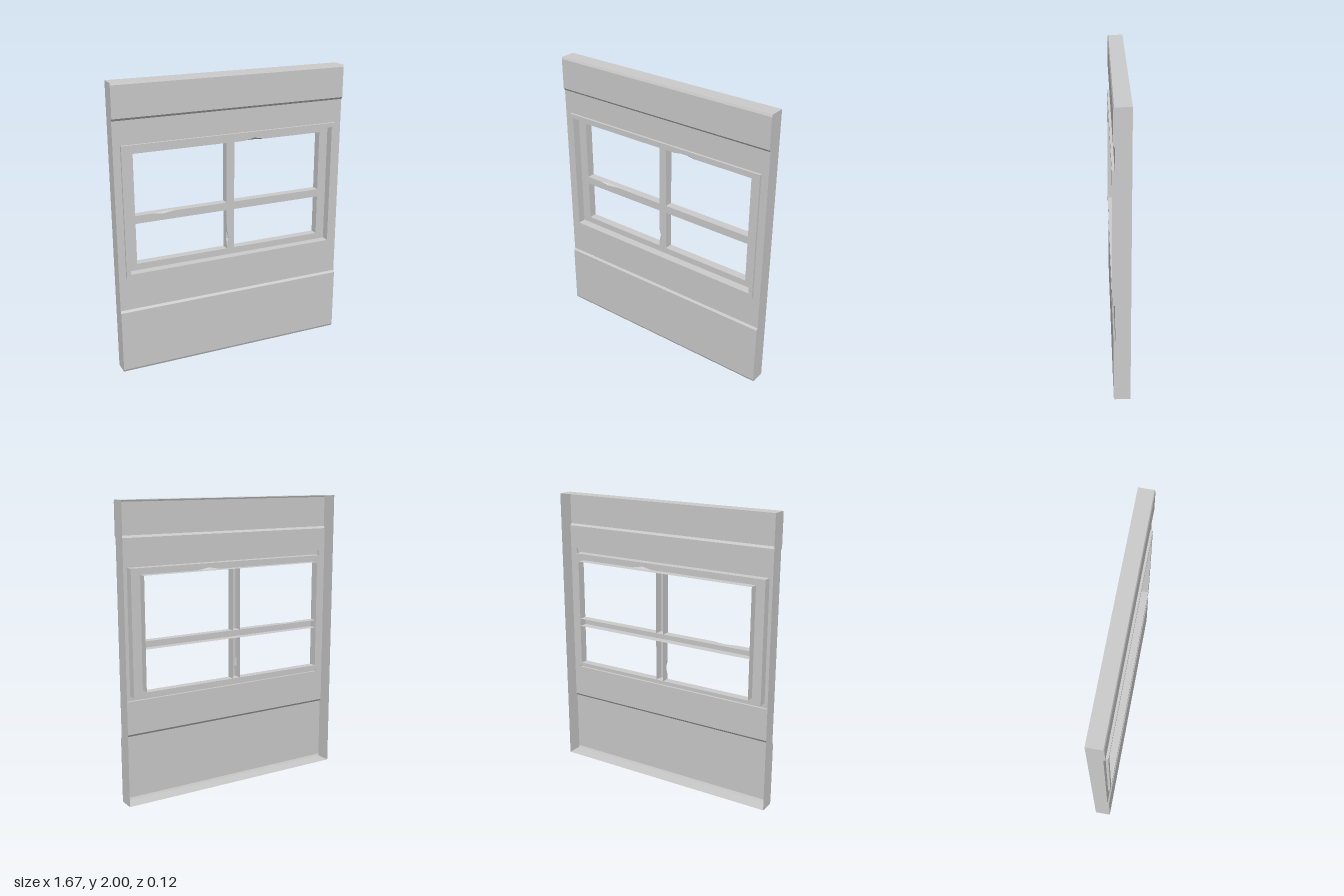
import * as THREE from 'three';

const HALF_W = 0.833;              // half width of the panel
const BACK = -0.058;               // open rear edge
const WALL_Z = 0.041;              // recessed middle of the wall
const SASH_Z = 0;                  // front of the window sash

const material = new THREE.MeshStandardMaterial({
  color: 0xcccccc, flatShading: true, side: THREE.DoubleSide,
});

function addMesh(parent, name, geometry) {
  const mesh = new THREE.Mesh(geometry, material);
  mesh.name = name;
  parent.add(mesh);
  return mesh;
}

// Surface through successive rows of [x, y, z] points
function loft(rows, closed) {
  const pos = [];
  for (let r = 0; r < rows.length - 1; r++) {
    const a = rows[r], b = rows[r + 1], n = a.length;
    for (let i = 0; i < (closed ? n : n - 1); i++) {
      const j = (i + 1) % n;
      pos.push(...a[i], ...a[j], ...b[j], ...a[i], ...b[j], ...b[i]);
    }
  }
  const g = new THREE.BufferGeometry();
  g.setAttribute('position', new THREE.Float32BufferAttribute(pos, 3));
  g.computeVertexNormals();
  return g;
}

const rect = (x0, x1, y0, y1) => [[x0, y0], [x1, y0], [x1, y1], [x0, y1]];
const atZ = (points, z) => points.map(([x, y]) => [x, y, z]);

// Flat sheet with openings, facing the front
function sheet(outline, holes, z) {
  const toVectors = (pts) => pts.map(([x, y]) => new THREE.Vector2(x, y));
  const shape = new THREE.Shape(toVectors(outline));
  holes.forEach((h) => shape.holes.push(new THREE.Path(toVectors(h))));
  return new THREE.ShapeGeometry(shape).translate(0, 0, z);
}

function buildWall(trimOutline) {
  const wall = new THREE.Group();
  wall.name = 'wall';
  // Side profile as [z, y], below and above the recessed middle
  const lower = [[BACK, 0], [0.046, 0], [0.052, 0.015], [0.052, 0.445], [WALL_Z, 0.46]];
  const upper = [[WALL_Z, 1.76], [0.052, 1.775], [0.052, 1.985], [0.046, 2], [BACK, 2]];
  const rows = (p) => p.map(([z, y]) => [[-HALF_W, y, z], [HALF_W, y, z]]);
  addMesh(wall, 'lowerPanel', loft(rows(lower)));
  addMesh(wall, 'upperPanel', loft(rows(upper)));
  addMesh(wall, 'middlePanel',
    sheet(rect(-HALF_W, HALF_W, 0.46, 1.76), [trimOutline], WALL_Z));

  // Side returns cut to the same profile
  const profile = [...lower, ...upper].map(([z, y]) => [-z, y]);
  for (const side of [-1, 1]) {
    const g = sheet(profile, [], 0).rotateY(Math.PI / 2).translate(side * HALF_W, 0, 0);
    addMesh(wall, side > 0 ? 'leftSide' : 'rightSide', g);
  }
  return wall;
}

function buildWindow(trimOutline) {
  const win = new THREE.Group();
  win.name = 'window';
  const inner = rect(-0.755, 0.755, 0.72, 1.57);

  // Raised trim stepping back to the sash
  addMesh(win, 'trim', loft([
    atZ(trimOutline, WALL_Z), atZ(trimOutline, 0.058), atZ(inner, 0.058), atZ(inner, SASH_Z),
  ], true));

  // Pane openings; the chips are small dents in the front edge,
  // each placed after the given corner as [x, y] with a dent offset
  const L = -0.69, R = 0.69, B = 0.765, T = 1.527;
  const barL = -0.03, barR = 0.027, barB = 1.05, barT = 1.105;
  const panes = [
    { box: [L, barL, B, barB], edge: 1,
      chip: [[barL, 0.79, 0, 0], [barL, 0.84, 0.016, 0], [barL, 0.9, 0, 0]] },
    { box: [barR, R, B, barB], edge: 0, chip: [] },
    { box: [L, barL, barT, T], edge: 0,
      chip: [[-0.57, barT, 0, 0], [-0.5, barT, 0, -0.01], [-0.4, barT, 0, 0]] },
    { box: [barR, R, barT, T], edge: 2,
      chip: [[0.26, T, 0, 0], [0.18, T, 0, 0.015], [0.1, T, 0, 0]] },
  ];
  const holes = [];
  panes.forEach(({ box, edge, chip }, i) => {
    const straight = rect(...box), dented = rect(...box);
    straight.splice(edge + 1, 0, ...chip.map(([x, y]) => [x, y]));
    dented.splice(edge + 1, 0, ...chip.map(([x, y, dx, dy]) => [x + dx, y + dy]));
    holes.push(dented);
    addMesh(win, `paneReturn${i + 1}`, loft([
      atZ(dented, SASH_Z), atZ(straight, SASH_Z - 0.015), atZ(straight, BACK),
    ], true));
  });
  addMesh(win, 'sashAndBars', sheet(inner, holes, SASH_Z));

  // Rail walls running on across the hollow backs of the bars
  const wallBetween = (x0, y0, x1, y1) =>
    loft([[[x0, y0, BACK], [x1, y1, BACK]], [[x0, y0, SASH_Z], [x1, y1, SASH_Z]]]);
  for (const y of [B, barB, barT, T]) addMesh(win, 'barWall', wallBetween(barL, y, barR, y));
  for (const x of [L, R]) addMesh(win, 'barEnd', wallBetween(x, barB, x, barT));
  return win;
}

export function createModel() {
  const model = new THREE.Group();
  model.name = 'windowWallPanel';
  const trimOutline = rect(-0.783, 0.783, 0.687, 1.6);
  model.add(buildWall(trimOutline), buildWindow(trimOutline));
  return model;
}
